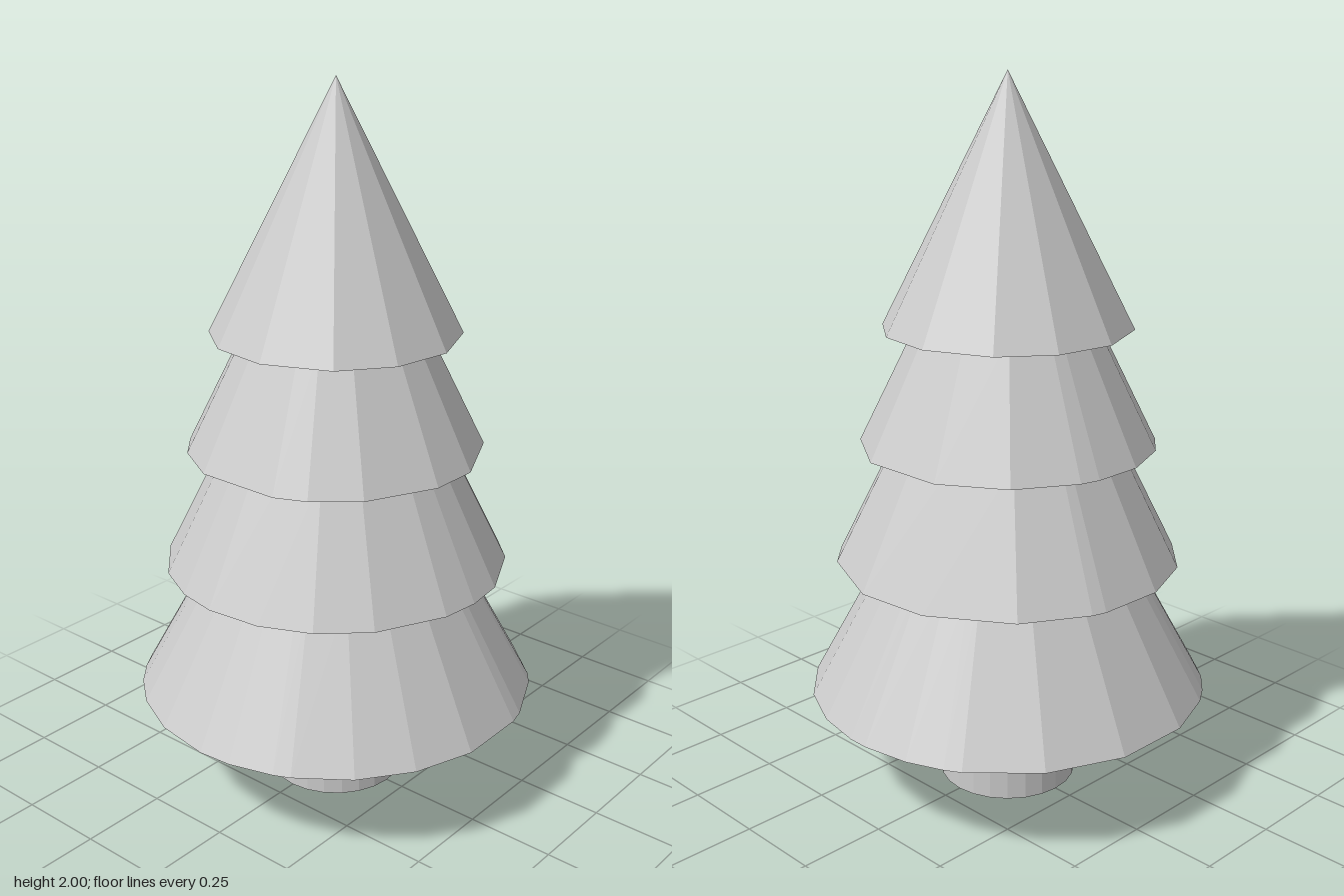
import * as THREE from 'three';

const material = new THREE.MeshStandardMaterial({ color: 0xcccccc, flatShading: true });

// Frustum whose corners sit at the given uneven angles (degrees, from +x towards +z),
// with its underside hollowed into a shallow cone
function hollowFrustum({ top, base, y0, y1, angles }) {
  const n = angles.length;
  const geometry = new THREE.CylinderGeometry(top, base, y1 - y0, n);
  geometry.translate(0, (y0 + y1) / 2, 0);
  const p = geometry.attributes.position;
  for (let i = 0; i < p.count; i++) {
    const x = p.getX(i), y = p.getY(i), z = p.getZ(i), r = Math.hypot(x, z);
    if (r < 1e-6) {
      if (y < (y0 + y1) / 2) p.setY(i, y0 + 0.25 * base);
      continue;
    }
    const corner = Math.round(Math.atan2(x, z) / (2 * Math.PI) * n);
    const a = THREE.MathUtils.degToRad(angles[(2 * n - corner) % n]);
    p.setXYZ(i, r * Math.cos(a), y, r * Math.sin(a));
  }
  geometry.computeVertexNormals();
  return geometry;
}

// Foliage tiers from the lowest skirt to the pointed top; each runs up into the hollow above
const tiers = [
  { name: 'lowestBranches', y0: 0.287, y1: 0.707, base: 0.562, top: 0.333,
    angles: [3, 17, 33, 51, 56, 74, 79, 100, 118, 135, 152, 157, 170, 180,
      197, 213, 225, 234, 241, 259, 282, 305, 327, 332, 343, 357] },
  { name: 'lowerBranches', y0: 0.668, y1: 1.032, base: 0.48, top: 0.3,
    angles: [8, 38, 52, 76, 90, 103, 128, 147, 165, 184, 198, 215, 237, 260, 283, 288, 312, 342] },
  { name: 'upperBranches', y0: 1.002, y1: 1.352, base: 0.41, top: 0.238,
    angles: [17, 48, 80, 100, 130, 150, 163, 198, 221, 237, 260, 280, 288, 314, 342] },
  { name: 'treeTop', y0: 1.326, y1: 2, base: 0.343, top: 0,
    angles: [0, 90, 180, 270].flatMap((q) => [q + 23, q + 51, q + 84]) },
];

export function createModel() {
  const tree = new THREE.Group();
  tree.name = 'tree';

  // Trunk, reaching up into the lowest hollow
  const trunk = new THREE.Mesh(new THREE.CylinderGeometry(0.195, 0.195, 0.385, 24), material);
  trunk.position.y = 0.1925;
  trunk.name = 'trunk';
  tree.add(trunk);

  for (const tier of tiers) {
    const mesh = new THREE.Mesh(hollowFrustum(tier), material);
    mesh.name = tier.name;
    tree.add(mesh);
  }
  return tree;
}
